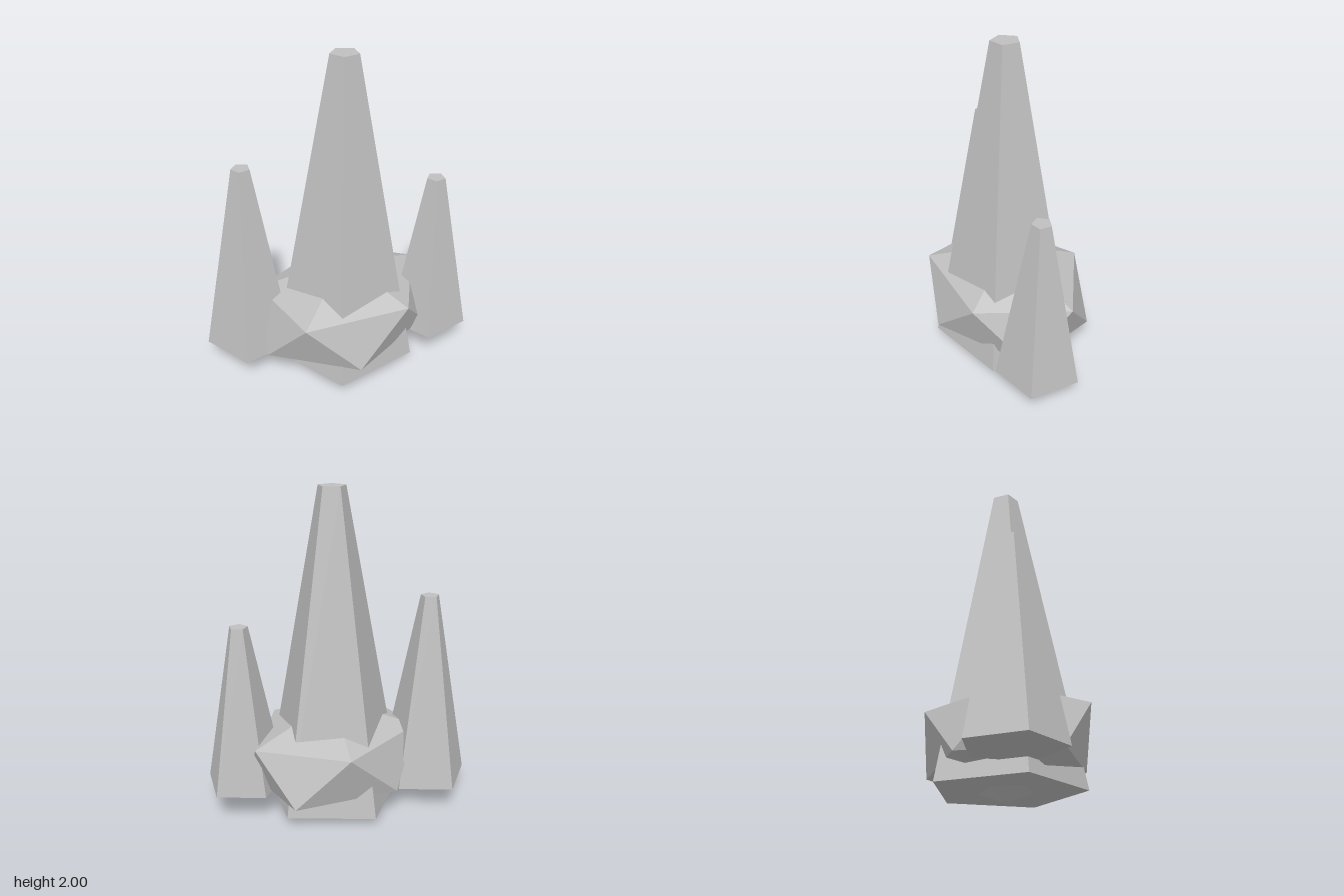
import * as THREE from 'three';

export function createModel() {
  const group = new THREE.Group();
  const stone = new THREE.MeshStandardMaterial({ color: 0xbfbfbf, flatShading: true });
  stone.name = 'grey stone';

  function add(name, geometry, x, y, z) {
    const mesh = new THREE.Mesh(geometry, stone);
    mesh.name = name;
    mesh.position.set(x, y, z);
    group.add(mesh);
  }

  // Five-sided tapered spike with one corner pointing to the back
  function spike(name, x, z, rTop, rBase, y0, y1) {
    const geometry = new THREE.CylinderGeometry(rTop, rBase, y1 - y0, 5);
    geometry.rotateY(Math.PI);
    add(name, geometry, x, (y0 + y1) / 2, z);
  }
  spike('centreSpike', 0.012, 0.068, 0.085, 0.456, 0.063, 2);
  spike('rightSpike', -0.502, -0.219, 0.057, 0.285, 0.147, 1.345);
  spike('leftSpike', 0.526, 0.294, 0.057, 0.255, 0.177, 1.2);

  // Squashed icosahedron boulder, stood on one corner
  const boulder = new THREE.IcosahedronGeometry(1, 0);
  boulder.rotateZ(-Math.atan(2 / (1 + Math.sqrt(5))));
  boulder.scale(0.627, 0.341, 0.512);
  add('boulder', boulder, 0.012, 0.341, 0.065);
  // Level the boulder's lowest corner with the ground
  group.getObjectByName('boulder').position.y = 0.345;
  group.getObjectByName('boulder').scale.y = 0.345 / 0.341;

  return group;
}
